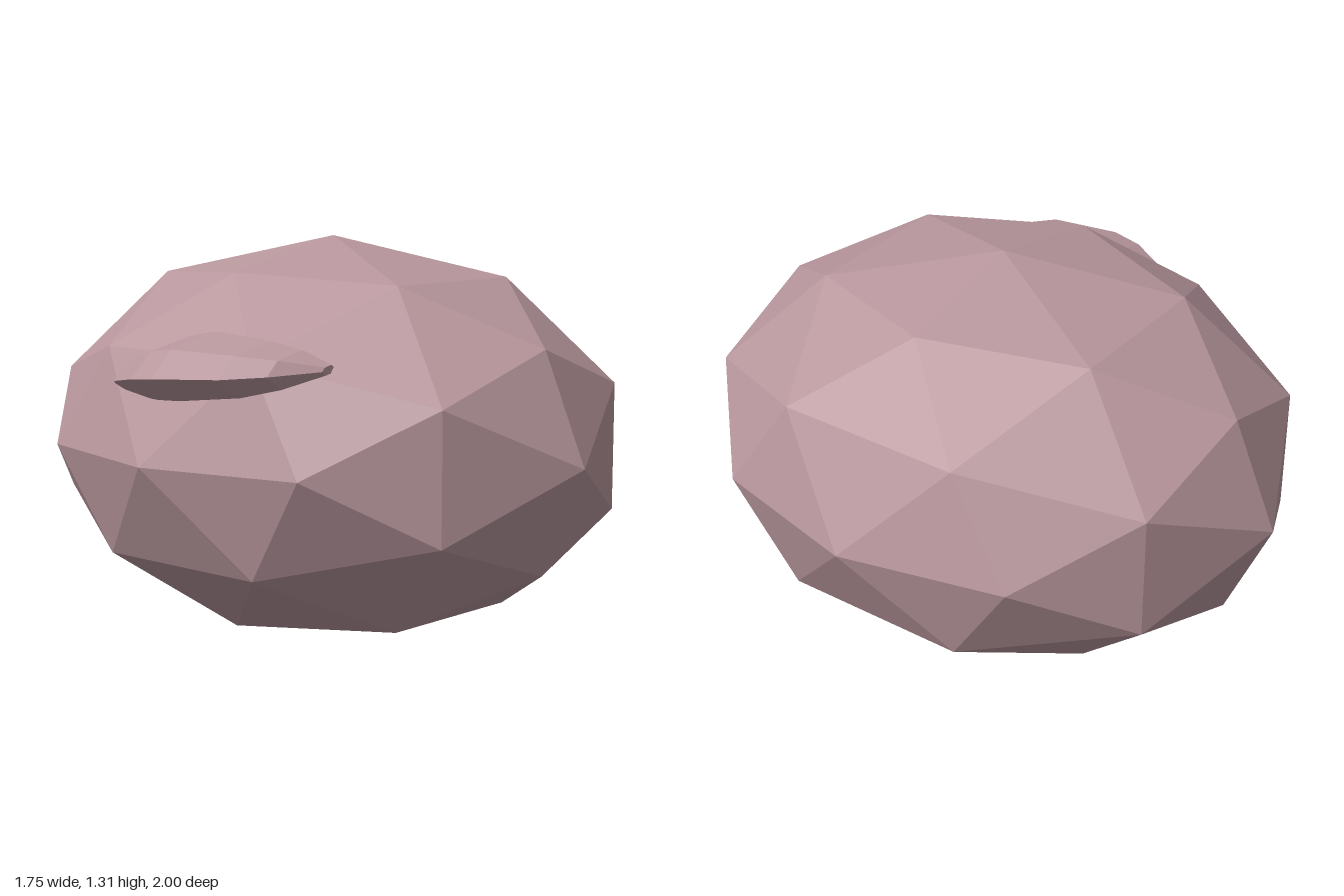
import * as THREE from 'three';

// Closed loft: each section is [z, centreX, centreY, scale] applied to one outline
function loft(outline, sections) {
  const n = outline.length;
  const positions = [];
  const index = [];
  for (const [z, cx, cy, s] of sections) {
    for (const [x, y] of outline) positions.push(cx + x * s, cy + y * s, z);
  }
  for (let i = 0; i < sections.length - 1; i++) {
    for (let j = 0; j < n; j++) {
      const k = (j + 1) % n;
      const a = i * n + j, b = i * n + k;
      const c = a + n, d = b + n;
      index.push(a, c, b, b, c, d);
    }
  }
  // End caps
  const last = (sections.length - 1) * n;
  for (let j = 1; j < n - 1; j++) {
    index.push(0, j, j + 1);
    index.push(last, last + j + 1, last + j);
  }
  const geometry = new THREE.BufferGeometry();
  geometry.setAttribute('position', new THREE.Float32BufferAttribute(positions, 3));
  geometry.setIndex(index);
  const flat = geometry.toNonIndexed();
  flat.computeVertexNormals();
  return flat;
}

export function createModel() {
  const model = new THREE.Group();
  model.name = 'facetedPebble';

  const mauve = new THREE.MeshStandardMaterial({ color: 0xb8979d, flatShading: true });
  mauve.name = 'mauve';

  // Main faceted ellipsoid
  const bodyGeometry = new THREE.IcosahedronGeometry(1, 1);
  bodyGeometry.scale(0.86, 0.655, 1);
  bodyGeometry.translate(0.015, 0.655, 0);
  const body = new THREE.Mesh(bodyGeometry, mauve);
  body.name = 'body';
  model.add(body);

  // Small spindle-shaped lump bulging from the upper right side
  const outline = [
    [-0.16, -0.01], [-0.08, 0.07], [0.11, 0.11],
    [0.17, 0.06], [0.08, -0.06], [-0.05, -0.085],
  ];
  const sections = [
    [-0.25, -0.69, 0.87, 0.1],
    [-0.17, -0.68, 0.9, 0.65],
    [0.0, -0.715, 0.93, 0.95],
    [0.1, -0.72, 0.94, 1],
    [0.33, -0.705, 0.95, 0.8],
    [0.43, -0.65, 0.955, 0.55],
    [0.51, -0.57, 0.96, 0.15],
  ];
  const lump = new THREE.Mesh(loft(outline, sections), mauve);
  lump.name = 'sideLump';
  model.add(lump);

  return model;
}
